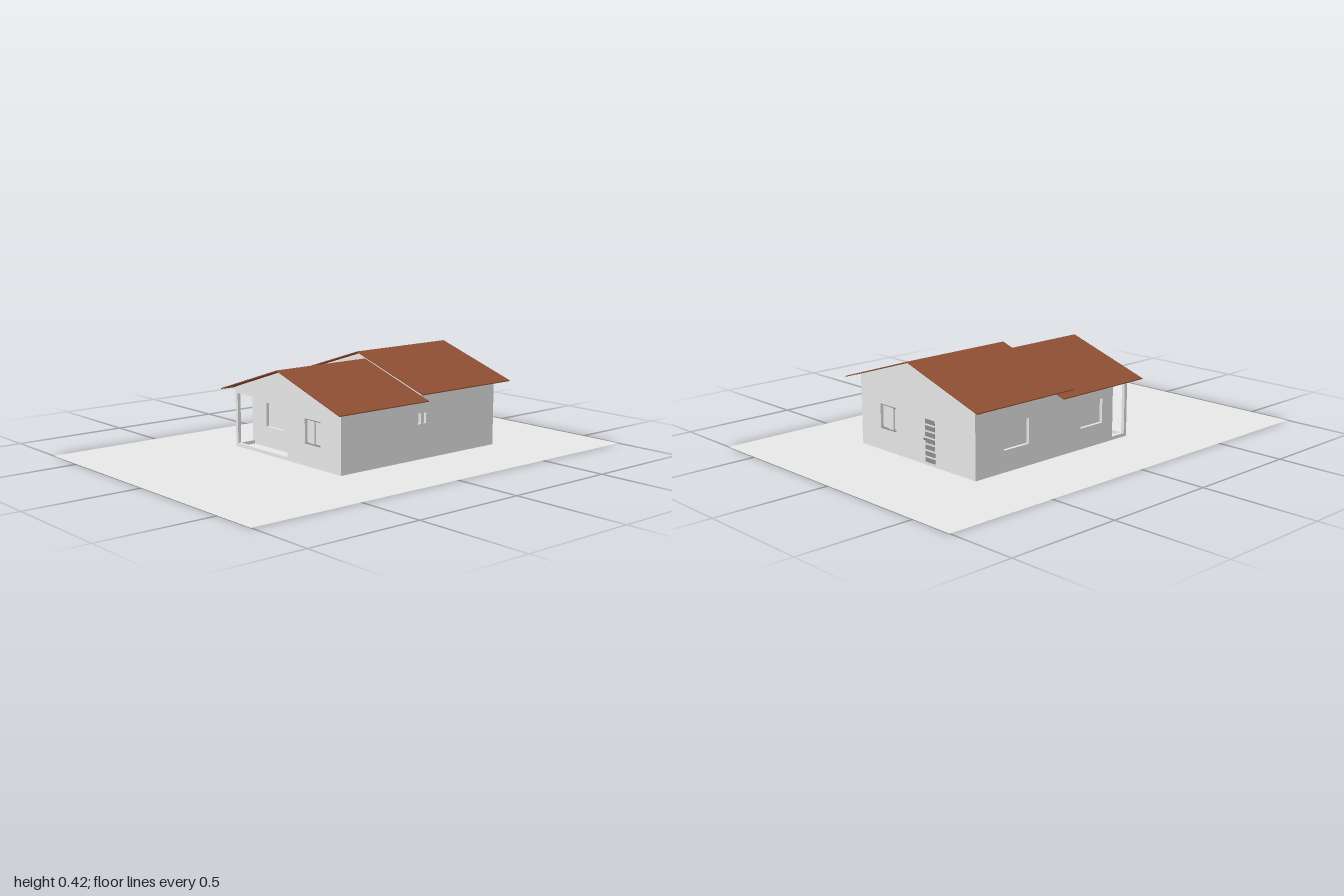
import * as THREE from 'three';

export function createModel() {
  const house = new THREE.Group();
  house.name = 'house';
  const plaster = new THREE.MeshStandardMaterial({ color: 0xe8e8e8, side: THREE.DoubleSide });
  plaster.name = 'white plaster';
  const tile = new THREE.MeshStandardMaterial({ color: 0x925134, side: THREE.DoubleSide });
  tile.name = 'brown roof';
  const grey = new THREE.MeshStandardMaterial({ color: 0x8e8e8e });
  grey.name = 'grey trim';

  const T = 0.015; // wall thickness
  const add = (name, geometry, material, x = 0, y = 0, z = 0) => {
    const mesh = new THREE.Mesh(geometry, material);
    mesh.name = name;
    mesh.position.set(x, y, z);
    house.add(mesh);
    return mesh;
  };
  const box = (name, material, x0, x1, y0, y1, z0, z1) =>
    add(name, new THREE.BoxGeometry(x1 - x0, y1 - y0, z1 - z0), material,
      (x0 + x1) / 2, (y0 + y1) / 2, (z0 + z1) / 2);

  // Slab cut from an outline, with rectangular openings [u0, u1, y0, y1]
  const slab = (points, openings, depth) => {
    const shape = new THREE.Shape(points.map(([u, v]) => new THREE.Vector2(u, v)));
    for (const [a, b, c, d] of openings) {
      shape.holes.push(new THREE.Path([[a, c], [a, d], [b, d], [b, c]].map(p => new THREE.Vector2(...p))));
    }
    return new THREE.ExtrudeGeometry(shape, { depth, bevelEnabled: false });
  };
  // Wall facing front or back: outline in x and y
  const longWall = (name, points, openings, z) => add(name, slab(points, openings, T), plaster, 0, 0, z);
  // Wall facing sideways: outline in z and y
  const crossWall = (name, points, openings, x, depth = T, material = plaster) => {
    const flipped = points.map(([z, y]) => [-z, y]);
    const holes = openings.map(([a, b, c, d]) => [-b, -a, c, d]);
    return add(name, slab(flipped, holes, depth).rotateY(Math.PI / 2), material, x);
  };

  // Ground
  add('ground', new THREE.PlaneGeometry(2, 1.39).rotateX(-Math.PI / 2), plaster);

  // Long walls, stepped where the roof height changes
  const stepped = [[-0.305, 0], [0.565, 0], [0.565, 0.3], [0.13, 0.3], [0.13, 0.262], [-0.305, 0.262]];
  longWall('frontWall', stepped, [[0.11, 0.16, 0.15, 0.195]], 0.35 - T);
  longWall('backWall', stepped, [
    [0.28, 0.415, 0.09, 0.195],
    [-0.15, -0.02, 0.09, 0.195],
    [-0.29, -0.215, 0.015, 0.235],
  ], -0.35);
  box('frontWindowPane', plaster, 0.1, 0.17, 0.14, 0.205, 0.333, 0.336);
  for (const [a, b] of [[0.28, 0.415], [-0.15, -0.02]]) {
    box('backWindowPane', plaster, a - 0.01, b + 0.01, 0.08, 0.205, -0.336, -0.333);
  }

  // Gable ends and the gable between the two roof heights
  const gable = (eave, ridge) => [[-0.35, 0], [0.35, 0], [0.35, eave], [0, ridge], [-0.35, eave]];
  const low = gable(0.262, 0.377), high = gable(0.3, 0.412);
  const win = [0.125, 0.225, 0.095, 0.195];
  crossWall('rightGable', high, [win], 0.565 - T);
  crossWall('middleGable', high, [], 0.13);
  crossWall('leftGable', low, [win, [-0.335, 0.01, 0.015, 0.235]], -0.305);

  // Sliding gable windows: two panes set at different depths, with sill and lintel lines
  for (const s of [1, -1]) {
    const face = s > 0 ? 0.565 : -0.305;
    const plate = (name, m, inner, outer, y0, y1, z0, z1) => {
      const xs = [face + s * inner, face + s * outer].sort((a, b) => a - b);
      box(name, m, xs[0], xs[1], y0, y1, z0, z1);
    };
    plate('gableWindowRearPane', plaster, -0.017, -0.014, 0.09, 0.2, 0.12, 0.23);
    plate('gableWindowFrontPane', plaster, -0.014, -0.006, 0.095, 0.195, 0.15, 0.18);
    for (const y of [0.095, 0.195]) {
      plate('gableWindowTrim', grey, -0.012, 0.001, y - 0.0015, y + 0.0015, 0.125, 0.225);
    }
  }

  // Side door slats and handle
  for (let i = 0; i < 7; i++) {
    const y = 0.022 + i * 0.0265;
    box('doorSlat', grey, 0.562, 0.567, y - 0.009, y + 0.009, -0.115, -0.058);
  }
  box('doorHandle', grey, 0.562, 0.57, 0.102, 0.11, -0.056, -0.05);

  // Corner porch: recessed walls with a window and a door
  crossWall('porchInnerWall', [[-0.35, 0], [0.01, 0], [0.01, 0.374], [0, 0.377], [-0.35, 0.262]],
    [[-0.25, -0.13, 0.09, 0.195], [-0.09, -0.01, 0.005, 0.195]], -0.215);
  box('porchPanes', plaster, -0.202, -0.2, 0, 0.205, -0.3, 0);
  box('porchSideWall', plaster, -0.3, -0.2, 0, 0.3, 0.01, 0.01 + T);

  // Two thin pitched roofs, the higher one lapping over the lower
  const roof = (name, x0, x1, half, eave, ridge) => {
    const t = 0.004;
    crossWall(name, [[-half, eave], [0, ridge], [half, eave], [half, eave - t], [0, ridge - t], [-half, eave - t]],
      [], x0, x1 - x0, tile);
  };
  roof('lowerRoof', -0.35, 0.13, 0.395, 0.254, 0.382);
  roof('upperRoof', 0.085, 0.605, 0.405, 0.287, 0.417);

  return house;
}
